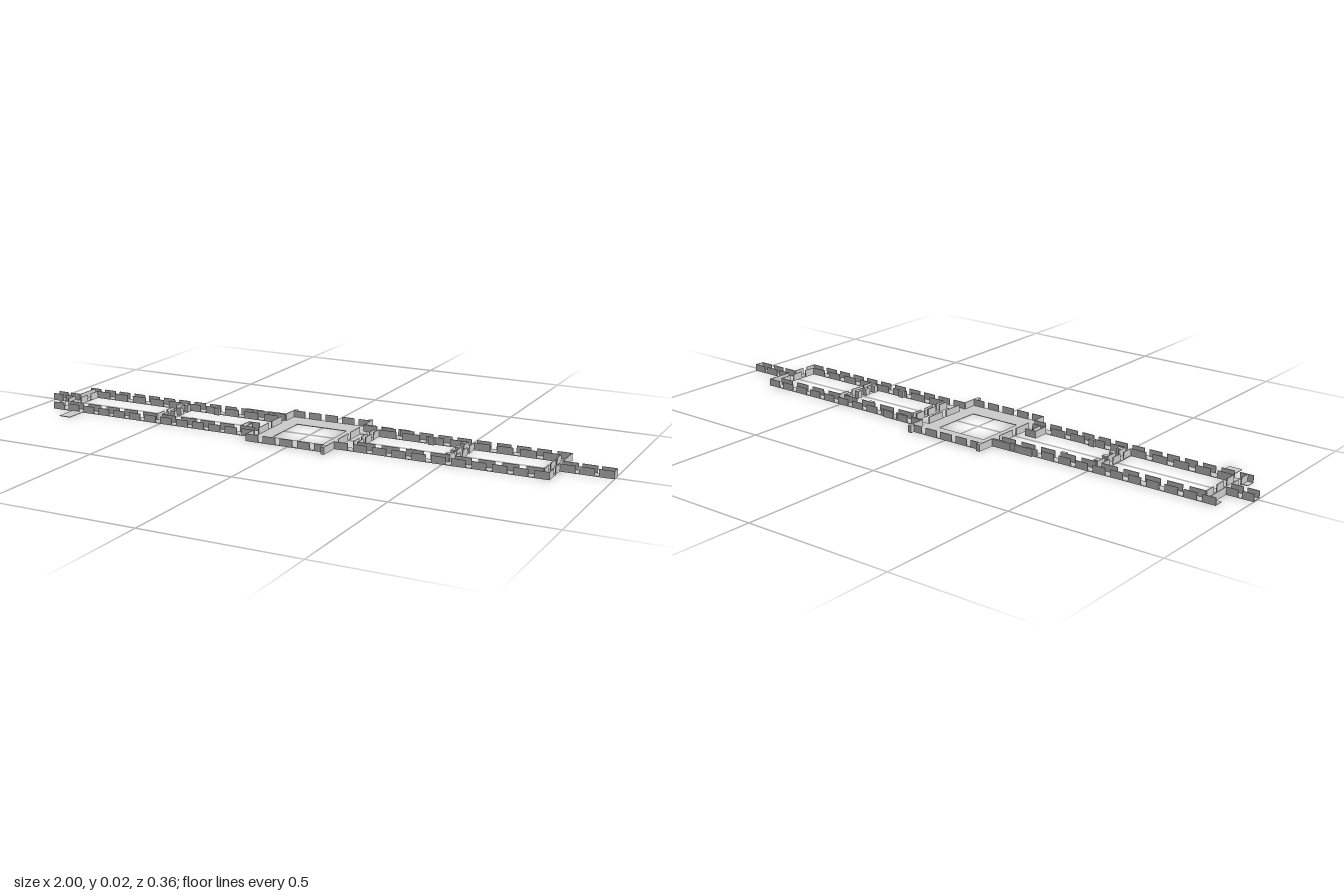
import * as THREE from 'three';

const H = 0.024;  // wall height
const T = 0.003;  // wall thickness
const F = 0.002;  // floor thickness

export function createModel() {
  const model = new THREE.Group();
  const material = new THREE.MeshStandardMaterial({ color: 0xcccccc, flatShading: true });

  // Box given by its plan rectangle and its height range
  function block(parent, name, x0, x1, z0, z1, y0, y1) {
    const mesh = new THREE.Mesh(new THREE.BoxGeometry(x1 - x0, y1 - y0, z1 - z0), material);
    mesh.position.set((x0 + x1) / 2, (y0 + y1) / 2, (z0 + z1) / 2);
    mesh.name = name;
    parent.add(mesh);
  }

  function group(name) {
    const g = new THREE.Group();
    g.name = name;
    model.add(g);
    return g;
  }

  // Row of wall panels with openings; "side" says which way the thickness goes
  function wall(parent, axis, from, to, at, side, pitch = 0.062, gap = 0.018) {
    const count = Math.max(1, Math.round((to - from) / pitch));
    const step = (to - from + gap) / count;
    const a = Math.min(at, at + side * T), b = Math.max(at, at + side * T);
    for (let i = 0; i < count; i++) {
      const s = from + i * step, e = s + step - gap;
      if (axis === 'x') block(parent, 'wallPanel', s, e, a, b, 0, H);
      else block(parent, 'wallPanel', a, b, s, e, 0, H);
    }
  }

  // Floors: [name, x0, x1, z0, z1]
  const floors = group('floors');
  [
    ['leftWingBackFloor', 0.14, 0.835, -0.112, -0.08],
    ['leftWingFrontFloor', 0.14, 0.835, 0.075, 0.107],
    ['rightWingBackFloor', -0.93, -0.148, -0.112, -0.08],
    ['rightWingFrontFloor', -0.93, -0.148, 0.075, 0.107],
    ['leftEndFloor', 0.807, 0.835, -0.08, 0.075],
    ['rightEndFloor', -0.912, -0.88, -0.08, 0.075],
    ['leftExitFloor', 0.835, 1, -0.022, 0.012],
    ['rightExitFloor', -1, -0.912, -0.022, 0.012],
    ['leftCrossFloor', 0.51, 0.53, -0.08, 0.075],
    ['rightCrossFloor', -0.533, -0.51, -0.08, 0.075],
    ['innerCrossFloor', 0.19, 0.207, -0.08, 0.075],
    ['shortPassageFloor', -0.212, -0.19, 0.022, 0.075],
    ['shortPassageHead', -0.19, -0.17, 0.022, 0.036],
    ['hallBackFloor', -0.148, 0.14, -0.168, -0.09],
    ['hallFrontFloor', -0.148, 0.14, 0.083, 0.155],
    ['hallRightFloor', -0.148, -0.092, -0.09, 0.083],
    ['hallLeftFloor', 0.087, 0.14, -0.09, 0.083],
    ['sidePlate', -0.853, -0.81, 0.107, 0.18],
  ].forEach(([name, ...r]) => block(floors, name, ...r, 0, F));

  // Long corridor walls on both wings
  const corridors = group('corridorWalls');
  for (const [x0, x1] of [[-0.93, -0.148], [0.14, 0.835]]) {
    wall(corridors, 'x', x0, x1, -0.112, 1);
    wall(corridors, 'x', x0, x1, 0.107, -1);
  }
  for (const [x0, x1] of [[-0.88, -0.533], [-0.51, -0.16], [0.207, 0.51], [0.53, 0.807]]) {
    wall(corridors, 'x', x0, x1, -0.08, -1, 0.07, 0.022);
    wall(corridors, 'x', x0, x1, 0.075, 1, 0.07, 0.022);
  }

  // Shallow outer ledge of the back walls beside the hall
  for (const [x0, x1] of [[-0.3, -0.148], [0.14, 0.3]]) {
    block(floors, 'backLedge', x0, x1, -0.118, -0.112, 0, F);
    wall(corridors, 'x', x0, x1, -0.118, 1);
  }

  // End corridors and the narrow exits
  const ends = group('endWalls');
  wall(ends, 'z', -0.08, 0.075, -0.88, -1);
  wall(ends, 'z', -0.08, 0.075, 0.807, 1);
  for (const x of [-0.912, 0.835]) {
    const side = x < 0 ? 1 : -1;
    wall(ends, 'z', -0.11, -0.022, x, side);
    wall(ends, 'z', 0.012, 0.105, x, side);
  }
  for (const [x0, x1] of [[-1, -0.912], [0.835, 1]]) {
    wall(ends, 'x', x0, x1, -0.022, 1, 0.05, 0.012);
    wall(ends, 'x', x0, x1, 0.012, -1, 0.05, 0.012);
  }
  block(ends, 'exitEndWall', 1 - T, 1, -0.022, 0.012, 0, H);

  // Cross corridors with small pillars facing the hall
  const crosses = group('crossWalls');
  for (const s of [-1, 1]) {
    wall(crosses, 'z', -0.08, 0.075, s * 0.531, -s, 0.05);
    wall(crosses, 'z', -0.08, 0.075, s * 0.51, s, 0.05);
    for (const z of [-0.065, -0.02, 0.018, 0.06]) {
      const a = s * 0.494, b = s * 0.51;
      block(crosses, 'pillar', Math.min(a, b), Math.max(a, b), z - 0.008, z + 0.008, 0, H);
    }
    for (const [z0, z1] of [[-0.08, -0.071], [0.068, 0.075]]) {
      block(crosses, 'buttress', s * 0.39 - 0.01, s * 0.39 + 0.01, z0, z1, 0, H);
    }
  }
  wall(crosses, 'z', -0.08, 0.075, 0.19, 1, 0.05);
  wall(crosses, 'z', -0.08, 0.075, 0.207, -1, 0.05);
  block(crosses, 'shortPassageWall', -0.212, -0.209, 0.022, 0.075, 0, H);
  block(crosses, 'shortPassageWall', -0.193, -0.19, 0.036, 0.075, 0, H);
  block(crosses, 'shortPassageHeadWall', -0.212, -0.17, 0.022, 0.025, 0, H);

  // Central hall: outer walls around an open court
  const hall = group('hallWalls');
  wall(hall, 'x', -0.148, 0.14, -0.168, 1, 0.055, 0.016);
  wall(hall, 'x', -0.148, 0.14, 0.155, -1, 0.055, 0.016);
  for (const [x, side] of [[-0.148, 1], [0.14, -1]]) {
    wall(hall, 'z', -0.168, -0.112, x, side);
    wall(hall, 'z', -0.08, 0.075, x, side, 0.07);
    wall(hall, 'z', 0.107, 0.155, x, side);
  }

  // Corner spurs of the hall
  block(hall, 'cornerSpur', -0.148, -0.135, -0.181, -0.168, 0, H);
  block(hall, 'cornerSpur', 0.127, 0.14, -0.181, -0.168, 0, H);
  block(hall, 'cornerSpur', 0.127, 0.14, 0.155, 0.176, 0, H);

  return model;
}
